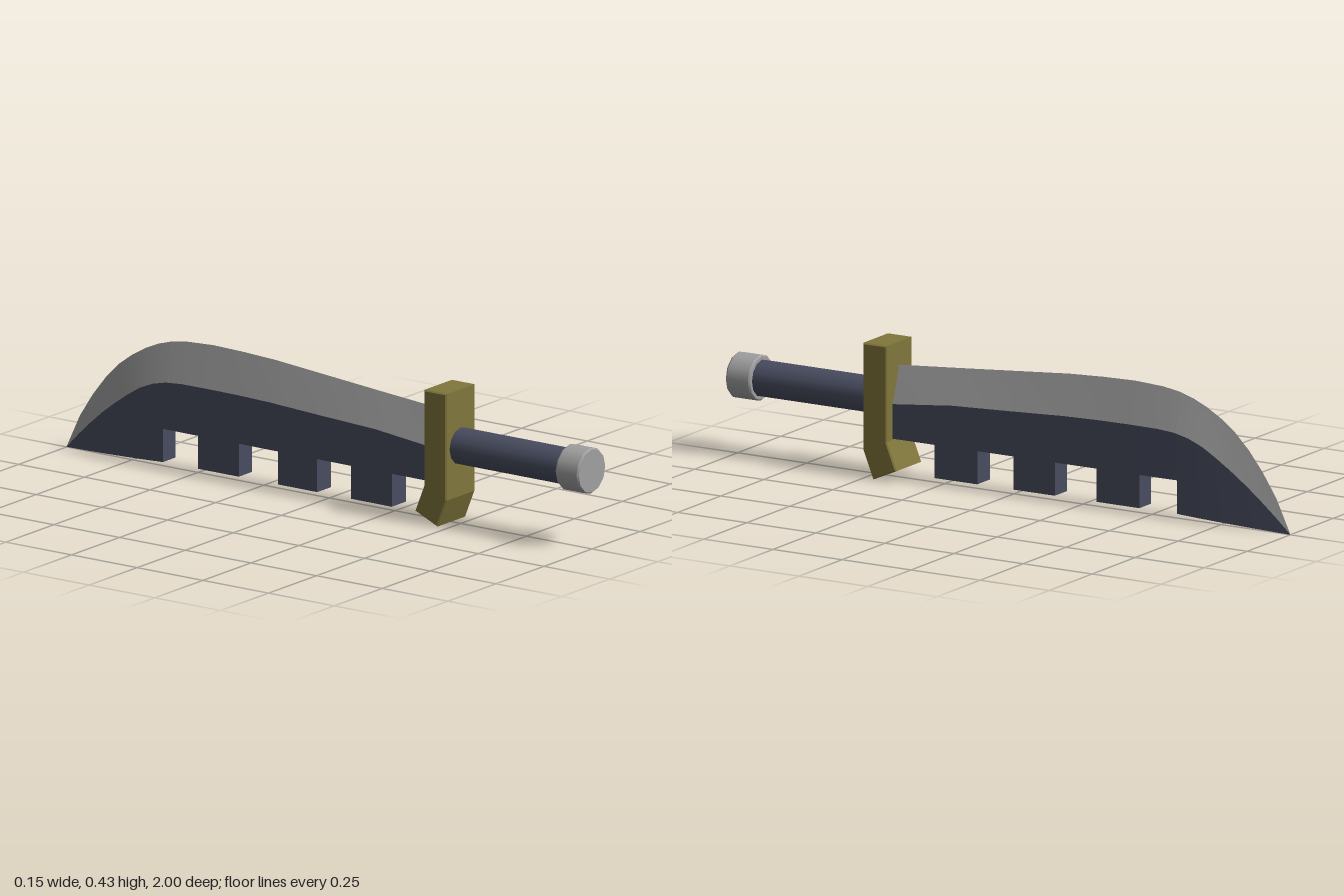
import * as THREE from 'three';

const steel = new THREE.MeshStandardMaterial({ color: 0xa0a0a0 });
steel.name = 'steel';
const slate = new THREE.MeshStandardMaterial({ color: 0x484c5f });
slate.name = 'slate';
const brass = new THREE.MeshStandardMaterial({ color: 0x80763b });
brass.name = 'brass';

const AXIS_Y = 0.25;

// Blade stations from guard to tip: z, cutting edge y, bevel ridge y, half width
const STATIONS = [
  [0.45, 0.354, 0.236, 0.038], [0.41, 0.357, 0.24, 0.038], [0.2, 0.374, 0.262, 0.037],
  [0, 0.391, 0.271, 0.036], [-0.2, 0.408, 0.281, 0.035], [-0.32, 0.414, 0.284, 0.034],
  [-0.44, 0.417, 0.285, 0.034], [-0.54, 0.412, 0.284, 0.033], [-0.6, 0.403, 0.279, 0.032],
  [-0.65, 0.388, 0.267, 0.031], [-0.7, 0.366, 0.246, 0.029], [-0.75, 0.337, 0.215, 0.026],
  [-0.8, 0.3, 0.18, 0.022], [-0.85, 0.25, 0.142, 0.018], [-0.9, 0.187, 0.099, 0.0125],
  [-0.95, 0.11, 0.053, 0.007], [-1, 0.004, 0.003, 0],
];
// The back of the blade switches between notch and tooth at each z
const STEPS = [0.265, 0.11, -0.02, -0.17, -0.32, -0.475, -0.61];

function sample(z) {
  let i = 0;
  while (i < STATIONS.length - 2 && z < STATIONS[i + 1][0]) i++;
  const a = STATIONS[i], b = STATIONS[i + 1];
  const t = (z - a[0]) / (b[0] - a[0]);
  return a.map((v, k) => THREE.MathUtils.lerp(v, b[k], t));
}

function backY(z, tooth) {
  if (!tooth) return 0.13;
  return z > -0.61 ? 0.025 : THREE.MathUtils.mapLinear(z, -0.61, -1, 0.024, 0.002);
}

// Ribbon of quads between two rails of points
function strip(upper, lower, flat) {
  const pos = [], index = [];
  upper.forEach((p, i) => {
    pos.push(...p, ...lower[i]);
    if (i) {
      const k = 2 * (i - 1);
      index.push(k, k + 1, k + 3, k, k + 3, k + 2);
    }
  });
  let g = new THREE.BufferGeometry();
  g.setAttribute('position', new THREE.Float32BufferAttribute(pos, 3));
  g.setIndex(index);
  if (flat) g = g.toNonIndexed();
  g.computeVertexNormals();
  return g;
}

function add(parent, name, geometry, material) {
  const mesh = new THREE.Mesh(geometry, material);
  mesh.name = name;
  parent.add(mesh);
  return mesh;
}

function makeBlade() {
  const blade = new THREE.Group();
  blade.name = 'blade';
  const zs = [...new Set([...STATIONS.map(s => s[0]), ...STEPS])].sort((a, b) => b - a);
  const edge = [], ridgeL = [], ridgeR = [], backL = [], backR = [];
  let tooth = false;
  const push = z => {
    const [, top, ridge, w] = sample(z);
    const y = backY(z, tooth);
    edge.push([0, top, z]);
    ridgeL.push([w, ridge, z]);
    ridgeR.push([-w, ridge, z]);
    backL.push([w, y, z]);
    backR.push([-w, y, z]);
  };
  for (const z of zs) {
    push(z);
    if (STEPS.includes(z)) {
      tooth = !tooth;
      push(z);
    }
  }
  add(blade, 'leftBevel', strip(edge, ridgeL), steel);
  add(blade, 'rightBevel', strip(ridgeR, edge), steel);
  add(blade, 'leftFlat', strip(ridgeL, backL), slate);
  add(blade, 'rightFlat', strip(backR, ridgeR), slate);
  add(blade, 'toothedBack', strip(backL, backR, true), slate);
  return blade;
}

// Twelve-sided cylinder lying along z
function rod(z0, z1, r0, r1, open) {
  const g = new THREE.CylinderGeometry(r1, r0, z1 - z0, 12, 1, open);
  return g.rotateX(Math.PI / 2).translate(0, AXIS_Y, (z0 + z1) / 2);
}

function makeGuard() {
  // Side profile in (z, y), its foot bent towards the blade
  const b = 0.004;
  const pts = [[0.496, 0.426], [0.496, 0.091], [0.462, 0.007], [0.385, 0.041], [0.419, 0.126], [0.419, 0.426]];
  const shape = new THREE.Shape(pts.map(([z, y]) => new THREE.Vector2(-z, y)));
  const g = new THREE.ExtrudeGeometry(shape, {
    depth: 0.15 - 2 * b, bevelEnabled: true, bevelThickness: b, bevelSize: b, bevelSegments: 1,
  });
  return g.translate(0, 0, -0.075 + b).rotateY(Math.PI / 2);
}

export function createModel() {
  const model = new THREE.Group();
  model.name = 'machete';
  model.add(makeBlade());
  add(model, 'guard', makeGuard(), brass);
  add(model, 'grip', rod(0.48, 0.93, 0.058, 0.058), slate);

  // Pommel with chamfered rims
  const pommel = new THREE.Group();
  pommel.name = 'pommel';
  add(pommel, 'pommelBody', rod(0.918, 0.994, 0.073, 0.073, true), steel);
  add(pommel, 'frontRim', rod(0.994, 1, 0.073, 0.069), steel);
  add(pommel, 'backRim', rod(0.912, 0.918, 0.069, 0.073), steel);
  model.add(pommel);
  return model;
}
